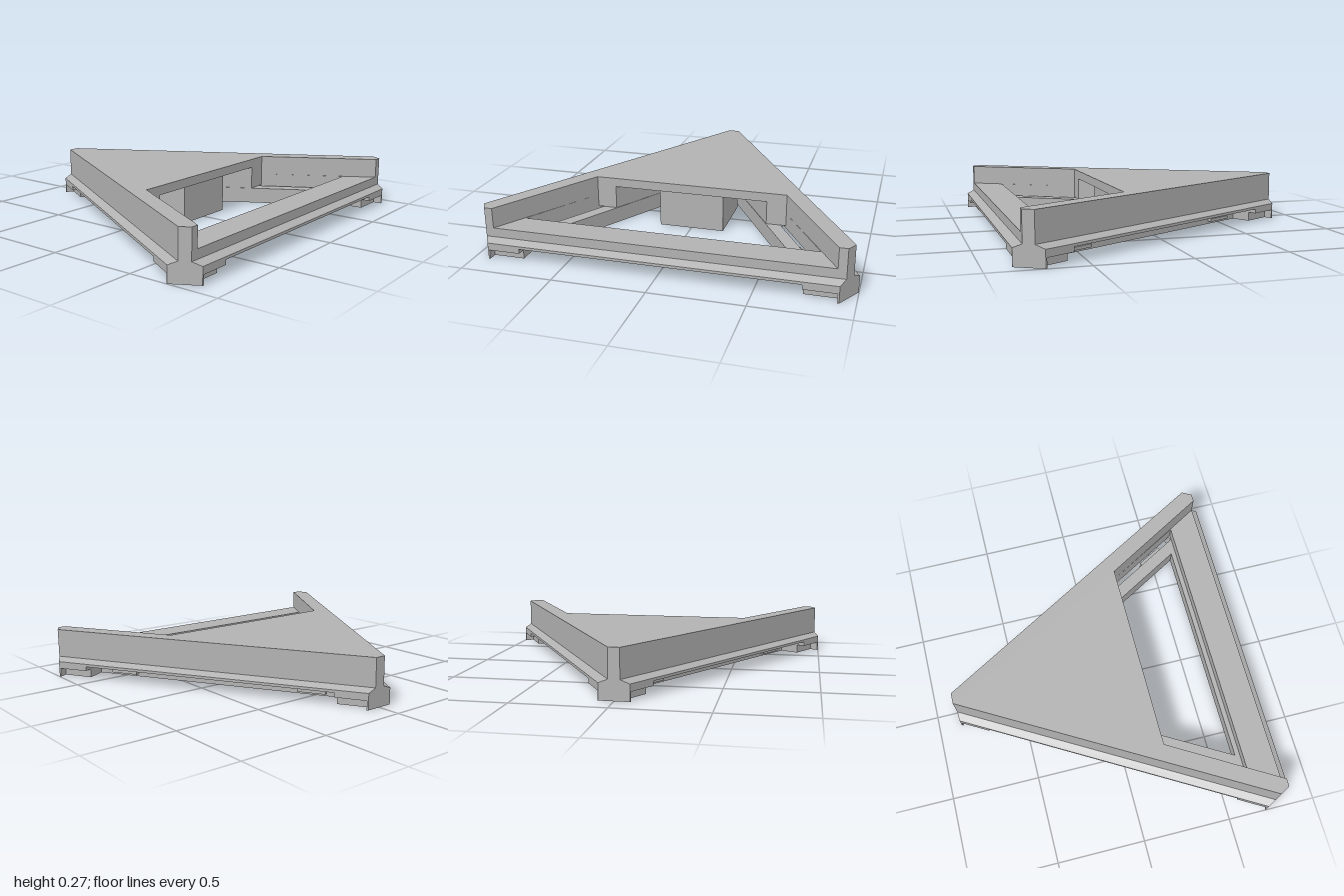
import * as THREE from 'three';

const R = 0.623;            // distance from the triangle's centre to each outer side
const CUT = 1.107;          // distance from the centre to each cut corner
const ZC = 0.237;           // z of the triangle's centre
const INNER = 0.237;        // inset of the central opening
const WALL = 0.043;         // inset of the upper wall

const grey = new THREE.MeshStandardMaterial({ color: 0xb2b2b2 });

// Point at s along side k and inset d from it, as (x, z)
function sidePoint(k, s, d) {
  const a = k * Math.PI * 2 / 3, c = Math.cos(a), n = Math.sin(a), r = R - d;
  return new THREE.Vector2(s * c - r * n, ZC + s * n + r * c);
}

// Half length of a side at inset d, between the cut corners
const halfSide = (d) => (CUT - 0.5 * (R - d)) / Math.sin(Math.PI / 3);

// Repeats a list of [s, d] points round all three sides
function around(points) {
  const out = [];
  for (let k = 0; k < 3; k++) for (const [s, d] of points) out.push(sidePoint(k, s, d));
  return out;
}

const hexagon = (d) => around([[halfSide(d), d], [-halfSide(d), d]]);
const innerTriangle = () => around([[(R - INNER) * Math.sqrt(3), INNER]]);
const slot = (k, s, d0, d1) =>
  [[s, d0], [-s, d0], [-s, d1], [s, d1]].map(([a, d]) => sidePoint(k, a, d));
const pts = (list) => list.map(([x, z]) => new THREE.Vector2(x, z));

// Horizontal slab between two heights, from an outline in x and z
function slab(name, outline, holes, y0, y1) {
  const shape = new THREE.Shape(outline);
  for (const h of holes) shape.holes.push(new THREE.Path(h));
  const g = new THREE.ExtrudeGeometry(shape, { depth: y1 - y0, bevelEnabled: false });
  g.rotateX(Math.PI / 2).translate(0, y1, 0);
  const mesh = new THREE.Mesh(g, grey);
  mesh.name = name;
  return mesh;
}

// Sloping band between two hexagons
function chamferBand(d0, y0, d1, y1) {
  const low = hexagon(d0), high = hexagon(d1), v = [];
  const put = (p, y) => v.push(p.x, y, p.y);
  for (let i = 0; i < 6; i++) {
    const j = (i + 1) % 6;
    put(low[i], y0); put(high[i], y1); put(low[j], y0);
    put(low[j], y0); put(high[i], y1); put(high[j], y1);
  }
  const g = new THREE.BufferGeometry();
  g.setAttribute('position', new THREE.Float32BufferAttribute(v, 3));
  g.computeVertexNormals();
  const mesh = new THREE.Mesh(g, grey);
  mesh.name = 'baseChamfer';
  return mesh;
}

export function createModel() {
  const model = new THREE.Group();
  model.name = 'triangularTile';

  // Feet at the corners, with stepped notches along every side
  const e = halfSide(0);
  const feet = around([[e, 0], [0.91, 0], [0.91, 0.05], [0.74, 0.05], [0.74, 0.165],
    [-0.74, 0.165], [-0.74, 0.05], [-0.91, 0.05], [-0.91, 0], [-e, 0]]);
  const shoulders = around([[e, 0], [0.74, 0], [0.74, 0.165],
    [-0.74, 0.165], [-0.74, 0], [-e, 0]]);
  model.add(slab('cornerFeet', feet, [innerTriangle()], 0, 0.05));
  model.add(slab('cornerShoulders', shoulders, [innerTriangle()], 0.05, 0.075));

  // Lip over the notches, with a long slit and a short groove per side
  const lipHoles = [innerTriangle()];
  for (let k = 0; k < 3; k++) {
    lipHoles.push(slot(k, 0.74, 0.137, 0.165), slot(k, 0.25, 0.085, 0.11));
  }
  model.add(slab('baseLip', hexagon(0), lipHoles, 0.075, 0.09));
  model.add(chamferBand(0, 0.09, WALL, 0.11));

  // Lower wall, closed all round
  const cavityTip = [0, ZC - 2 * (R - INNER)];
  const opening = pts([[-0.55, 0.22], [-0.798, 0.65], [0.798, 0.65], [0.55, 0.22],
    [0.44, 0.22], cavityTip, [-0.44, 0.22]]);
  model.add(slab('lowerWall', hexagon(WALL), [opening], 0.09, 0.16));

  // Upper wall, open at the front, then the deck above the cavity
  const zf = ZC + R - WALL, hex = hexagon(WALL);
  const outer = [...hex.slice(1), hex[0]];
  const leftFront = pts([[0.9, zf], [0.55, 0.22]]);
  const rightFront = pts([[-0.55, 0.22], [-0.9, zf]]);
  const cavity = pts([[0.44, 0.22], cavityTip, [-0.44, 0.22]]);
  model.add(slab('upperWall', [...outer, ...leftFront, ...cavity, ...rightFront], [], 0.16, 0.22));
  model.add(slab('deck', [...outer, ...leftFront, ...rightFront], [], 0.22, 0.27));

  // Block hanging under the deck
  const block = new THREE.Mesh(new THREE.BoxGeometry(0.37, 0.22, 0.37), grey);
  block.position.y = 0.11;
  block.name = 'underDeckBlock';
  model.add(block);

  // Clips on the recessed wall of each side
  const profile = [[0.167, 0.015], [0.14, 0.015], [0.14, 0.032], [0.158, 0.036], [0.155, 0.045],
    [0.149, 0.054], [0.14, 0.06], [0.14, 0.066], [0.167, 0.066]];
  const clipShape = new THREE.Shape(profile.map(([d, y]) => new THREE.Vector2(R - d, y)));
  const clip = new THREE.ExtrudeGeometry(clipShape, { depth: 0.16, bevelEnabled: false });
  clip.rotateY(-Math.PI / 2).translate(0.08, 0, 0);
  for (let k = 0; k < 3; k++) {
    const side = new THREE.Group();
    side.name = 'sideClips';
    side.position.z = ZC;
    side.rotation.y = -k * Math.PI * 2 / 3;
    for (const s of [-0.57, 0.57]) {
      const m = new THREE.Mesh(clip, grey);
      m.position.x = s;
      m.name = 'clip';
      side.add(m);
    }
    model.add(side);
  }
  return model;
}
